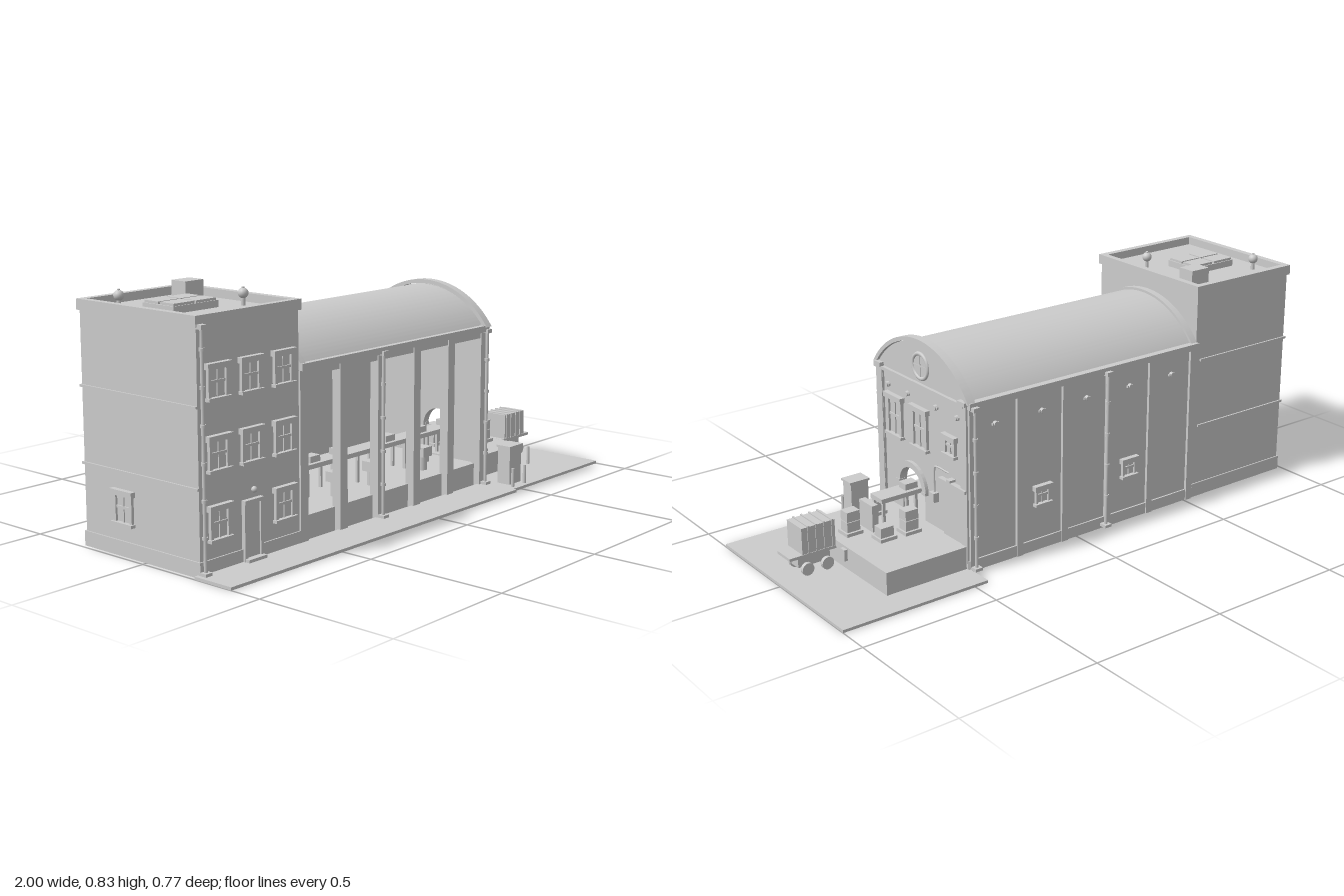
import * as THREE from 'three';
import { toCreasedNormals } from 'three/addons/utils/BufferGeometryUtils.js';

const mat = new THREE.MeshStandardMaterial({ color: 0xcccccc });

function add(parent, name, geo, x = 0, y = 0, z = 0) {
  const m = new THREE.Mesh(geo, mat);
  m.name = name;
  m.position.set(x, y, z);
  parent.add(m);
  return m;
}
// box given by its extents on each axis
function span(p, name, x0, x1, y0, y1, z0, z1) {
  return add(p, name, new THREE.BoxGeometry(x1 - x0, y1 - y0, z1 - z0), (x0 + x1) / 2, (y0 + y1) / 2, (z0 + z1) / 2);
}
// upright cylinder standing at y0
function post(p, name, r, y0, y1, x, z, n = 16) {
  return add(p, name, new THREE.CylinderGeometry(r, r, y1 - y0, n), x, (y0 + y1) / 2, z);
}
function group(p, name, x, y, z, ry = 0) {
  const g = new THREE.Group();
  g.name = name;
  g.position.set(x, y, z);
  g.rotation.y = ry;
  p.add(g);
  return g;
}
// profile drawn in (-z, y), extruded along x from x0 to x1
function alongX(p, name, shape, x0, x1) {
  const geo = new THREE.ExtrudeGeometry(shape, { depth: x1 - x0, bevelEnabled: false, curveSegments: 40 });
  const m = add(p, name, toCreasedNormals(geo, 0.6), x0, 0, 0);
  m.rotation.y = Math.PI / 2;
  return m;
}
const CU = 0.022, CY = 0.402, EAVE = 0.59;
// curved band, or filled segment when inner is 0, of the barrel roof
function vault(outer, inner) {
  const s = new THREE.Shape();
  const a = Math.asin((EAVE - CY) / outer);
  s.absarc(CU, CY, outer, a, Math.PI - a, false);
  if (inner) {
    const b = Math.asin((EAVE - CY) / inner);
    s.absarc(CU, CY, inner, Math.PI - b, b, true);
  }
  s.closePath();
  return s;
}
function archBand(u, y, outer, inner) {
  const s = new THREE.Shape();
  s.absarc(u, y, outer, 0, Math.PI, false);
  s.absarc(u, y, inner, Math.PI, 0, true);
  s.closePath();
  return s;
}

// framed sash window facing local +z, centred on its opening
function sash(p, x, y, z, w, h, ry = 0) {
  const g = group(p, 'window', x, y, z, ry);
  const a = w / 2, b = h / 2, t = w * 0.13;
  span(g, 'pane', -a, a, -b, b, -0.004, 0.002);
  for (const s of [-1, 1]) add(g, 'jamb', new THREE.BoxGeometry(t, h, 0.014), s * (a - t / 2), 0, 0.003);
  span(g, 'lintel', -a - 0.008, a + 0.008, b - 0.018, b, -0.004, 0.018);
  span(g, 'sill', -a - 0.006, a + 0.006, -b, -b + 0.01, -0.004, 0.018);
  span(g, 'mullion', -0.002, 0.002, -b, b, 0, 0.006);
  span(g, 'meetingRail', -a, a, -0.004, 0.004, 0, 0.007);
  return g;
}
// wall-tie rosette facing local +z
function rosette(p, x, y, z, ry) {
  const g = group(p, 'wallTie', x, y, z, ry);
  add(g, 'tieBar', new THREE.BoxGeometry(0.026, 0.008, 0.006), 0, 0, 0.003);
  const d = add(g, 'tieDisc', new THREE.CylinderGeometry(0.008, 0.01, 0.01, 12), 0, 0, 0.005);
  d.rotation.x = Math.PI / 2;
}
function drainpipe(p, x, z, top) {
  const g = group(p, 'drainpipe', x, 0, z);
  post(g, 'pipe', 0.006, 0.01, top, 0, 0, 10);
  span(g, 'hopper', -0.012, 0.012, top - 0.012, top + 0.002, -0.011, 0.011);
  span(g, 'shoe', -0.014, 0.014, 0.01, 0.02, -0.015, 0.015);
  for (let y = 0.12; y < top - 0.05; y += 0.115) post(g, 'collar', 0.009, y, y + 0.01, 0, 0, 10);
}

function buildTower(root) {
  const g = group(root, 'tower', 0, 0, 0);
  span(g, 'towerBody', -0.98, -0.54, 0, 0.772, -0.285, 0.235);
  span(g, 'towerPlinth', -0.985, -0.535, 0, 0.05, -0.29, 0.24);
  // parapet around the sunken roof
  for (const z of [-0.28, 0.23]) span(g, 'parapet', -0.988, -0.532, 0.765, 0.8, z - 0.012, z + 0.012);
  for (const x of [-0.976, -0.544]) span(g, 'parapet', x - 0.012, x + 0.012, 0.765, 0.8, -0.28, 0.23);
  for (const y of [0.27, 0.52]) {
    span(g, 'stringCourse', -0.986, -0.56, y, y + 0.008, -0.291, -0.28);
    span(g, 'stringCourse', -0.986, -0.97, y, y + 0.008, -0.291, 0.235);
  }
  for (const y of [0.595, 0.375, 0.16])
    for (const x of [-0.9, -0.76, -0.615])
      if (y > 0.2 || x !== -0.76) sash(g, x, y, 0.236, 0.085, 0.115);
  sash(g, -0.98, 0.16, -0.1, 0.085, 0.115, -Math.PI / 2);
  // entrance
  span(g, 'door', -0.792, -0.728, 0.01, 0.195, 0.23, 0.243);
  for (const x of [-0.795, -0.725]) span(g, 'doorJamb', x - 0.006, x + 0.006, 0.01, 0.2, 0.23, 0.249);
  span(g, 'doorHead', -0.802, -0.718, 0.193, 0.205, 0.23, 0.252);
  span(g, 'doorStep', -0.8, -0.72, 0.01, 0.02, 0.235, 0.265);
  add(g, 'doorLamp', new THREE.SphereGeometry(0.01, 12, 8), -0.76, 0.235, 0.25);
  // roof fittings
  span(g, 'skylightCurb', -0.885, -0.695, 0.77, 0.795, -0.1, 0.04);
  for (const x of [-0.837, -0.743]) for (const z of [-0.065, 0.005])
    span(g, 'skylightPane', x - 0.043, x + 0.043, 0.795, 0.803, z - 0.031, z + 0.031);
  span(g, 'chimney', -0.655, -0.575, 0.77, 0.831, -0.215, -0.15);
  for (const [x, z] of [[-0.91, -0.18], [-0.62, 0.075]]) {
    post(g, 'ventStem', 0.007, 0.77, 0.81, x, z, 10);
    add(g, 'ventBall', new THREE.SphereGeometry(0.017, 16, 12), x, 0.812, z);
    post(g, 'ventCap', 0.005, 0.825, 0.832, x, z, 8);
  }
  drainpipe(g, -0.972, 0.25, 0.772);
}

function buildHall(root) {
  const g = group(root, 'hall', 0, 0, 0);
  span(g, 'floor', -0.54, 0.44, 0, 0.085, -0.28, 0.215);
  span(g, 'backWall', -0.54, 0.45, 0, 0.58, -0.285, -0.265);
  span(g, 'backPlinth', -0.54, 0.455, 0, 0.04, -0.291, -0.28);
  // colonnade in front, pilasters behind
  for (let i = 0; i < 6; i++) {
    const x = -0.52 + i * 0.1915;
    span(g, 'frontColumn', x - 0.018, x + 0.018, 0, 0.58, 0.205, 0.24);
    span(g, 'backPilaster', x - 0.013, x + 0.013, 0, 0.58, -0.295, -0.28);
    if (i === 5) continue;
    rosette(g, x + 0.096, 0.5, -0.285, Math.PI);
    if (i === 1 || i === 3) sash(g, x + 0.096, 0.2, -0.286, 0.06, 0.075, Math.PI);
  }
  span(g, 'frontBeam', -0.54, 0.45, 0.55, 0.58, 0.212, 0.236);
  for (const z of [-0.285, 0.238]) span(g, 'eavesGutter', -0.54, 0.452, 0.572, 0.595, z - 0.016, z + 0.014);
  // barrel roof, end ribs and gable
  alongX(g, 'barrelRoof', vault(0.319, 0.309), -0.54, 0.44);
  alongX(g, 'towerEndRib', vault(0.328, 0.309), -0.54, -0.515);
  alongX(g, 'gable', vault(0.32, 0), 0.432, 0.45);
  alongX(g, 'gableRim', vault(0.336, 0.322), 0.428, 0.458);

  // end wall with arched opening
  const wall = new THREE.Shape([[-0.235, 0], [0.28, 0], [0.28, 0.59], [-0.235, 0.59]].map(([u, y]) => new THREE.Vector2(u, y)));
  const hole = new THREE.Path();
  hole.moveTo(-0.108, 0.09);
  hole.lineTo(-0.108, 0.195);
  hole.absarc(-0.04, 0.195, 0.068, Math.PI, 0, true);
  hole.lineTo(0.028, 0.09);
  hole.closePath();
  wall.holes.push(hole);
  alongX(g, 'endWall', wall, 0.43, 0.448);
  alongX(g, 'archSurround', archBand(-0.04, 0.195, 0.09, 0.068), 0.43, 0.46);
  for (const z of [-0.038, 0.118]) span(g, 'archFoot', 0.44, 0.462, 0.19, 0.2, z - 0.012, z + 0.012);
  for (const z of [0.223, -0.269]) {
    span(g, 'cornerPilaster', 0.43, 0.458, 0, 0.59, z - 0.017, z + 0.017);
    span(g, 'pilasterCap', 0.425, 0.466, 0.583, 0.597, z - 0.02, z + 0.02);
  }
  span(g, 'gableCornice', 0.435, 0.46, 0.572, 0.584, -0.27, 0.225);
  const q = Math.PI / 2;
  sash(g, 0.449, 0.425, 0.135, 0.088, 0.152, q);
  sash(g, 0.449, 0.425, -0.015, 0.088, 0.152, q);
  sash(g, 0.449, 0.418, -0.19, 0.06, 0.076, q);
  for (const z of [0.18, 0.06, -0.105, -0.225]) rosette(g, 0.448, 0.525, z, q);
  // round gable window
  const r = group(g, 'roundWindow', 0.45, 0.645, -0.022, q);
  add(r, 'ring', new THREE.TorusGeometry(0.043, 0.007, 10, 36));
  add(r, 'disc', new THREE.CylinderGeometry(0.041, 0.041, 0.004, 32)).rotation.x = q;
  add(r, 'barAcross', new THREE.BoxGeometry(0.08, 0.005, 0.008));
  add(r, 'barUp', new THREE.BoxGeometry(0.004, 0.08, 0.008));
  // loading door and switch pipe
  span(g, 'loadingDoor', 0.44, 0.456, 0.09, 0.28, -0.28, -0.148);
  span(g, 'doorHead', 0.44, 0.466, 0.28, 0.291, -0.285, -0.132);
  span(g, 'doorLight', 0.445, 0.472, 0.296, 0.304, -0.21, -0.188);
  const path = new THREE.CatmullRomCurve3([[0.2, -0.098], [0.3, -0.098], [0.316, -0.103], [0.32, -0.118], [0.32, -0.185]]
    .map(([y, z]) => new THREE.Vector3(0.456, y, z)));
  add(g, 'conduit', new THREE.TubeGeometry(path, 30, 0.0035, 8));
  span(g, 'switchBox', 0.445, 0.47, 0.19, 0.223, -0.112, -0.084);
  drainpipe(g, -0.14, 0.25, 0.58);
  drainpipe(g, -0.12, -0.305, 0.58);
  drainpipe(g, 0.435, -0.305, 0.58);
  drainpipe(g, 0.442, 0.25, 0.58);
}

function buildConveyor(root) {
  const g = group(root, 'conveyor', 0, 0, 0);
  span(g, 'belt', -0.47, 0.6, 0.18, 0.196, 0.005, 0.075);
  for (let x = -0.45; x < 0.62; x += 0.13)
    for (const z of [0.012, 0.068]) span(g, 'conveyorLeg', x - 0.005, x + 0.005, 0.085, 0.182, z - 0.005, z + 0.005);
  for (const x of [-0.43, -0.27, -0.13, 0.13, 0.31, 0.47]) span(g, 'parcel', x - 0.025, x + 0.025, 0.196, 0.218, 0.02, 0.06);
  // work stools beside the belt
  for (const x of [-0.44, -0.24, -0.05, 0.23]) {
    post(g, 'stoolBase', 0.018, 0.085, 0.135, x, 0.125);
    span(g, 'stoolCrate', x - 0.024, x + 0.024, 0.135, 0.17, 0.1, 0.15);
  }
  span(g, 'driveHousing', 0.6, 0.66, 0.09, 0.185, 0, 0.08);
  g.children[g.children.length - 1].scale.set(0.4, 1, 1);
}

function buildYard(root) {
  const g = group(root, 'yard', 0, 0, 0);
  span(g, 'pavement', -1, 0.45, 0, 0.01, 0.23, 0.385);
  span(g, 'yardGround', 0.45, 1, 0, 0.01, -0.388, 0.372);
  span(g, 'loadingPlatform', 0.445, 0.77, 0, 0.09, -0.28, 0.18);
  for (const z of [-0.032, 0.118]) span(g, 'dockBuffer', 0.77, 0.782, 0.042, 0.082, z - 0.013, z + 0.013);
  // crates on pallets, some stacked
  for (const [x, z, n] of [[0.54, -0.065, 2], [0.635, -0.06, 1], [0.55, 0.13, 1], [0.7, 0.045, 2]]) {
    span(g, 'pallet', x - 0.032, x + 0.032, 0.09, 0.102, z - 0.029, z + 0.029);
    for (let i = 0; i < n; i++) span(g, 'crate', x - 0.025, x + 0.025, 0.102 + i * 0.037, 0.137 + i * 0.037, z - 0.02, z + 0.02);
  }
  // bin and bollards
  span(g, 'bin', 0.485, 0.555, 0.01, 0.145, 0.275, 0.328);
  span(g, 'binLid', 0.48, 0.56, 0.145, 0.153, 0.272, 0.332);
  for (const [x, z] of [[0.475, 0.35], [0.545, 0.352], [0.79, 0.198]]) post(g, 'bollard', 0.006, 0.01, 0.078, x, z, 10);

  // loaded cart
  const c = group(g, 'cart', 0, 0, 0);
  span(c, 'cartBed', 0.785, 0.96, 0.076, 0.086, 0, 0.08);
  span(c, 'cartLoad', 0.79, 0.915, 0.09, 0.183, -0.005, 0.088);
  for (const x of [0.8, 0.83, 0.86, 0.89]) span(c, 'loadStrap', x - 0.003, x + 0.003, 0.09, 0.187, -0.008, 0.091);
  span(c, 'cartFrame', 0.8, 0.92, 0.035, 0.076, 0.018, 0.062);
  for (const x of [0.82, 0.895]) for (const z of [0.002, 0.082])
    add(c, 'wheel', new THREE.CylinderGeometry(0.022, 0.022, 0.013, 20), x, 0.032, z).rotation.x = Math.PI / 2;
}

export function createModel() {
  const root = new THREE.Group();
  root.name = 'factory';
  buildTower(root);
  buildHall(root);
  buildConveyor(root);
  buildYard(root);
  return root;
}
